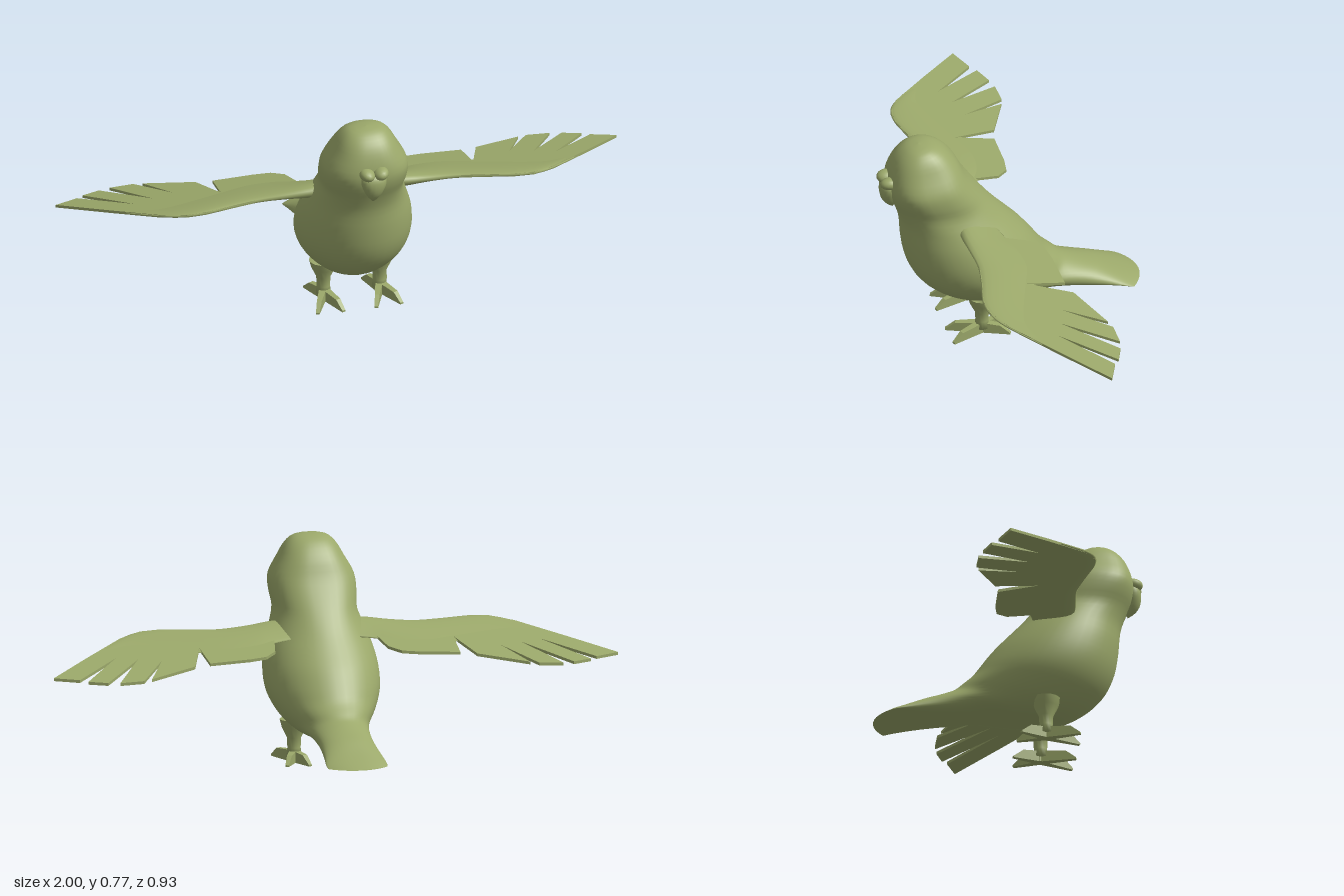
import * as THREE from 'three';

const material = new THREE.MeshStandardMaterial({ color: 0x9ba86a, side: THREE.DoubleSide });

function part(name, geometry, parent) {
  const mesh = new THREE.Mesh(geometry, material);
  mesh.name = name;
  parent.add(mesh);
  return mesh;
}

// Catmull-Rom refinement of a list of section rows
function refine(rows, k) {
  const out = [];
  const last = rows.length - 1;
  for (let i = 0; i < last; i++) {
    const p = rows[Math.max(0, i - 1)], a = rows[i], b = rows[i + 1], q = rows[Math.min(last, i + 2)];
    for (let s = 0; s < k; s++) {
      const t = s / k;
      out.push(a.map((v, c) => v + 0.5 * t * (b[c] - p[c]
        + t * (2 * p[c] - 5 * v + 4 * b[c] - q[c] + t * (3 * (v - b[c]) + q[c] - p[c])))));
    }
  }
  out.push(rows[last]);
  return out;
}

// Skin closed rings; place(row, cos, sin) gives a point of a ring
function loft(rows, sides, place) {
  const positions = [], index = [];
  rows.forEach((row, i) => {
    for (let j = 0; j < sides; j++) {
      const angle = (j / sides) * Math.PI * 2;
      positions.push(...place(row, Math.cos(angle), Math.sin(angle)));
      if (i === rows.length - 1) continue;
      const a = i * sides + j, b = i * sides + (j + 1) % sides;
      index.push(a, a + sides, b, b, a + sides, b + sides);
    }
  });
  const g = new THREE.BufferGeometry();
  g.setAttribute('position', new THREE.Float32BufferAttribute(positions, 3));
  g.setIndex(index);
  g.computeVertexNormals();
  return g;
}

const boxy = (v, n) => Math.sign(v) * Math.pow(Math.abs(v), n);

// Ring between a front point and a back point of the side profile
// row: frontZ, frontY, backZ, backY, half width, squareness
function profileRing([z1, y1, z2, y2, w, n], c, s) {
  const u = boxy(c, n), v = boxy(s, n);
  return [w * v, (y1 + y2) / 2 + u * (y1 - y2) / 2, (z1 + z2) / 2 + u * (z1 - z2) / 2];
}

const bodyRows = [
  [0.325, 0.766, 0.325, 0.766, 0, 1],
  [0.365, 0.755, 0.28, 0.762, 0.055, 0.9],
  [0.4, 0.725, 0.235, 0.738, 0.088, 0.85],
  [0.423, 0.68, 0.195, 0.69, 0.115, 0.8],
  [0.436, 0.62, 0.165, 0.63, 0.147, 0.8],
  [0.43, 0.57, 0.125, 0.57, 0.15, 0.85],
  [0.41, 0.52, 0.085, 0.515, 0.145, 0.9],
  [0.392, 0.46, 0.04, 0.46, 0.165, 1],
  [0.385, 0.38, -0.01, 0.405, 0.188, 1],
  [0.372, 0.3, -0.06, 0.35, 0.2, 1],
  [0.345, 0.235, -0.1, 0.295, 0.198, 1],
  [0.3, 0.18, -0.13, 0.255, 0.182, 1],
  [0.23, 0.13, -0.165, 0.225, 0.155, 1],
  [0.15, 0.106, -0.19, 0.205, 0.13, 1],
  [0.05, 0.102, -0.215, 0.193, 0.113, 1],
  [-0.06, 0.112, -0.26, 0.175, 0.1, 0.95],
  [-0.18, 0.102, -0.31, 0.156, 0.095, 0.9],
  [-0.3, 0.092, -0.37, 0.125, 0.1, 0.85],
  [-0.42, 0.084, -0.43, 0.098, 0.107, 0.8],
  [-0.465, 0.08, -0.465, 0.083, 0.105, 0.8],
];

const beakRows = [
  [0.42, 0.645, 0.42, 0.645, 0, 1],
  [0.455, 0.625, 0.4, 0.625, 0.04, 0.9],
  [0.464, 0.595, 0.4, 0.6, 0.044, 0.9],
  [0.458, 0.56, 0.4, 0.57, 0.033, 1],
  [0.44, 0.535, 0.4, 0.545, 0.018, 1],
  [0.418, 0.518, 0.418, 0.518, 0, 1],
];

// Height of the wing plane: drops outwards and backwards
const wingHeight = (x, z) => 0.468 - 0.04 * Math.abs(x) + 0.2 * (z - 0.2);

// Wing outline in x, z with feather notches along the trailing edge
const wingOutline = [
  [0.14, 0.19], [0.35, 0.205], [0.45, 0.225], [0.55, 0.248], [0.62, 0.245], [0.7, 0.2],
  [0.85, 0.06], [1, -0.085], [0.915, -0.12], [0.75, 0.04], [0.89, -0.14], [0.825, -0.165],
  [0.68, 0.01], [0.785, -0.175], [0.7, -0.175], [0.6, -0.015], [0.67, -0.165], [0.5, -0.09],
  [0.45, 0.065], [0.443, -0.075], [0.3, -0.07], [0.24, -0.06], [0.2, -0.02], [0.18, 0.08], [0.14, 0.1],
];

// Thick front of the wing: x, leading z, trailing z, half thickness
const armRows = [
  [0.1, 0.22, 0.08, 0.042], [0.18, 0.22, 0.06, 0.034], [0.25, 0.215, 0.02, 0.026],
  [0.35, 0.21, 0, 0.02], [0.45, 0.228, 0.03, 0.018], [0.55, 0.251, 0.06, 0.016],
  [0.63, 0.245, 0.08, 0.013], [0.7, 0.204, 0.09, 0.01], [0.8, 0.11, 0.05, 0.006],
];

function buildWing(side) {
  const wing = new THREE.Group();
  wing.name = side > 0 ? 'leftWing' : 'rightWing';
  const shape = new THREE.Shape(wingOutline.map(([x, z]) => new THREE.Vector2(side * x, -z)));
  const plate = new THREE.ExtrudeGeometry(shape, { depth: 0.01, bevelEnabled: false });
  plate.rotateX(-Math.PI / 2);
  const p = plate.attributes.position;
  for (let i = 0; i < p.count; i++) {
    p.setY(i, p.getY(i) - 0.005 + wingHeight(p.getX(i), p.getZ(i)));
  }
  plate.computeVertexNormals();
  part('feathers', plate, wing);

  const rows = refine(armRows, 3).map(([x, ...rest]) => [side * x, ...rest]);
  if (side < 0) rows.reverse();
  part('wingArm', loft(rows, 20, ([x, z1, z2, t], c, s) => {
    const z = (z1 + z2) / 2 + c * (z1 - z2) / 2;
    return [x, wingHeight(x, z) + t * s * (0.6 + 0.4 * c), z];
  }), wing);
  return wing;
}

function buildLeg(side) {
  const leg = new THREE.Group();
  leg.name = side > 0 ? 'leftLeg' : 'rightLeg';
  leg.position.set(side * 0.1, 0, 0.125);
  const shin = new THREE.LatheGeometry(
    [[0, 0.015], [0.026, 0.02], [0.023, 0.05], [0.025, 0.085], [0.042, 0.12], [0.05, 0.15]]
      .map(([x, y]) => new THREE.Vector2(x, y)), 14);
  part('shin', shin, leg);
  // Two toes forward, two toes back
  for (const [dx, dz] of [[-0.042, 0.12], [0.05, 0.115], [-0.035, -0.098], [0.045, -0.09]]) {
    const length = Math.hypot(dx, dz);
    const profile = new THREE.Shape([[-0.01, 0], [length, 0], [length, 0.006], [length - 0.035, 0.034], [-0.01, 0.042]]
      .map(([x, y]) => new THREE.Vector2(x, y)));
    const toe = new THREE.ExtrudeGeometry(profile, { depth: 0.028, bevelEnabled: false });
    toe.translate(0, 0, -0.014);
    // Narrow the toe towards its claw
    const p = toe.attributes.position;
    for (let i = 0; i < p.count; i++) {
      p.setZ(i, p.getZ(i) * (1 - 0.55 * Math.max(0, p.getX(i) / length)));
    }
    toe.computeVertexNormals();
    part('toe', toe, leg).rotation.y = Math.atan2(-dz, side * dx);
  }
  return leg;
}

export function createModel() {
  const bird = new THREE.Group();
  bird.name = 'bird';

  // Head, torso and tail in one skin, with a rounded tail end
  const body = loft(refine(bodyRows, 3), 40, (row, c, s) => {
    const point = profileRing(row, c, s);
    const end = THREE.MathUtils.clamp((-0.36 - row[2]) / 0.105, 0, 1);
    point[2] += 0.045 * end * Math.pow(point[0] / 0.105, 2);
    return point;
  });
  part('body', body, bird);

  // Hooked beak with a two-lobed cere above it
  part('beak', loft(refine(beakRows, 3), 20, profileRing), bird);
  for (const side of [1, -1]) {
    const lobe = part('cere', new THREE.SphereGeometry(1, 16, 12), bird);
    lobe.scale.set(0.028, 0.022, 0.036);
    lobe.position.set(side * 0.024, 0.632, 0.432);
    lobe.rotation.z = side * 0.3;
    bird.add(buildWing(side), buildLeg(side));
  }
  return bird;
}
